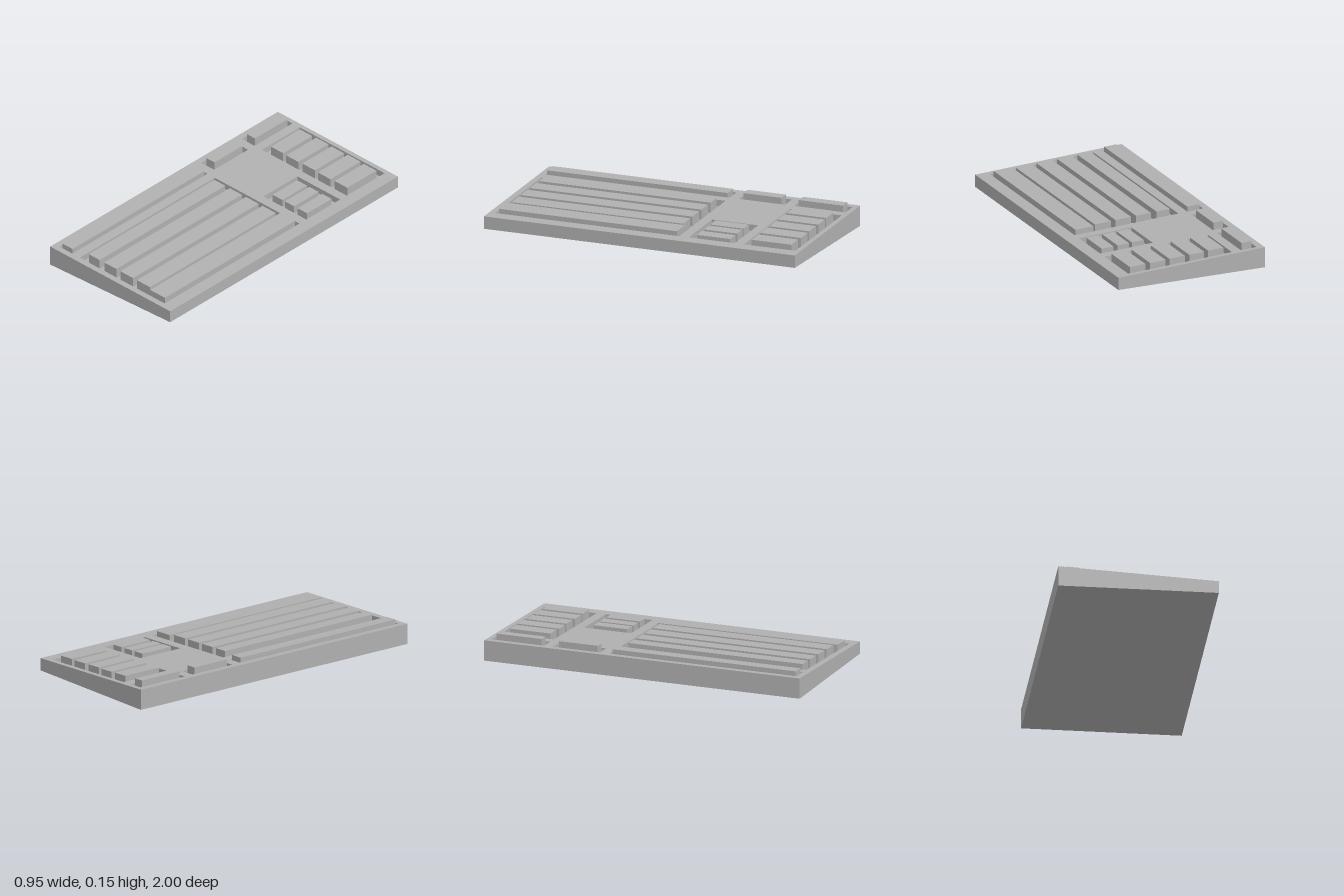
import * as THREE from 'three';

// height of the sloping top plane at x
const slope = (x) => 0.1005 - 0.0516 * x;
const DEPTH = 0.04;

// Box whose bottom and top heights are functions of x; drops listed faces
// (0 +x, 1 -x, 2 top, 3 bottom, 4 +z, 5 -z) and can be turned inside out.
function prism([x0, x1, z0, z1], bottom, top, drop, inward = false) {
  const g = new THREE.BoxGeometry(x1 - x0, 1, z1 - z0);
  g.translate((x0 + x1) / 2, 0, (z0 + z1) / 2);
  const p = g.attributes.position;
  for (let i = 0; i < p.count; i++) {
    const x = p.getX(i);
    p.setY(i, p.getY(i) > 0 ? top(x) : bottom(x));
  }
  let index = Array.from(g.index.array).filter((v, i) => !drop.includes(Math.floor(i / 6)));
  if (inward) index.reverse();
  g.clearGroups();
  g.setIndex(index);
  const flat = g.toNonIndexed();
  flat.computeVertexNormals();
  return flat;
}

export function createModel() {
  const group = new THREE.Group();
  const grey = new THREE.MeshStandardMaterial({ color: 0xb0b0b0 });
  grey.name = 'grey plastic';
  const add = (name, geometry) => {
    const mesh = new THREE.Mesh(geometry, grey);
    mesh.name = name;
    group.add(mesh);
  };

  const outline = [-0.475, 0.475, -1, 1];
  const back = [-0.434, -0.333], front = [-0.275, 0.397];
  const zA = [-0.97, -0.638], zB = [-0.58, -0.283], zC = [-0.223, 0.962];
  const wells = [
    [...back, ...zA], [...front, ...zA],
    [...back, ...zB], [0.058, 0.397, ...zB],
    [...back, ...zC], [...front, ...zC],
  ];

  // wedge case: walls and underside
  add('caseBody', prism(outline, () => 0, slope, [2]));

  // sloping top plate with openings
  const rect = ([x0, x1, z0, z1], Type) => new Type([
    new THREE.Vector2(x0, -z0), new THREE.Vector2(x1, -z0),
    new THREE.Vector2(x1, -z1), new THREE.Vector2(x0, -z1),
  ]);
  const plate = rect(outline, THREE.Shape);
  plate.holes = wells.map((w) => rect(w, THREE.Path));
  const plateGeometry = new THREE.ShapeGeometry(plate);
  plateGeometry.rotateX(-Math.PI / 2);
  const pos = plateGeometry.attributes.position;
  for (let i = 0; i < pos.count; i++) pos.setY(i, slope(pos.getX(i)));
  plateGeometry.computeVertexNormals();
  add('topPlate', plateGeometry);

  // recessed wells
  const floor = (x) => slope(x) - DEPTH;
  wells.forEach((w) => add('keyWell', prism(w, floor, slope, [2], true)));

  // key blocks standing in the wells
  const key = (name, bounds, rise) =>
    add(name, prism(bounds, floor, (x) => slope(x) + rise, [3]));

  key('functionKeys', [-0.413, -0.35, -0.945, -0.66], 0.033);
  key('functionKeys', [-0.413, -0.35, -0.55, -0.305], 0.033);
  key('functionKeys', [-0.42, -0.34, -0.208, 0.953], 0.025);

  const padRows = [[-0.238, -0.14], [-0.112, -0.016], [0.012, 0.112], [0.138, 0.238], [0.268, 0.368]];
  padRows.forEach(([a, b], i) => {
    const extra = i % 2 ? 0.004 : 0;
    key('numberPadRow', [a, b, -0.93 - extra, -0.675 + extra], 0.023);
  });

  const navRows = [[0.095, 0.172], [0.192, 0.265], [0.293, 0.368]];
  navRows.forEach(([a, b]) => key('navigationRow', [a, b, -0.537, -0.322], 0.011));

  const mainRows = [[-0.238, -0.153], [-0.116, -0.021], [0.012, 0.112], [0.143, 0.247]];
  mainRows.forEach(([a, b]) => key('mainKeyRow', [a, b, -0.18, 0.923], 0.023));
  key('spaceBarRow', [0.266, 0.382, -0.2, 0.943], 0.023);

  return group;
}
